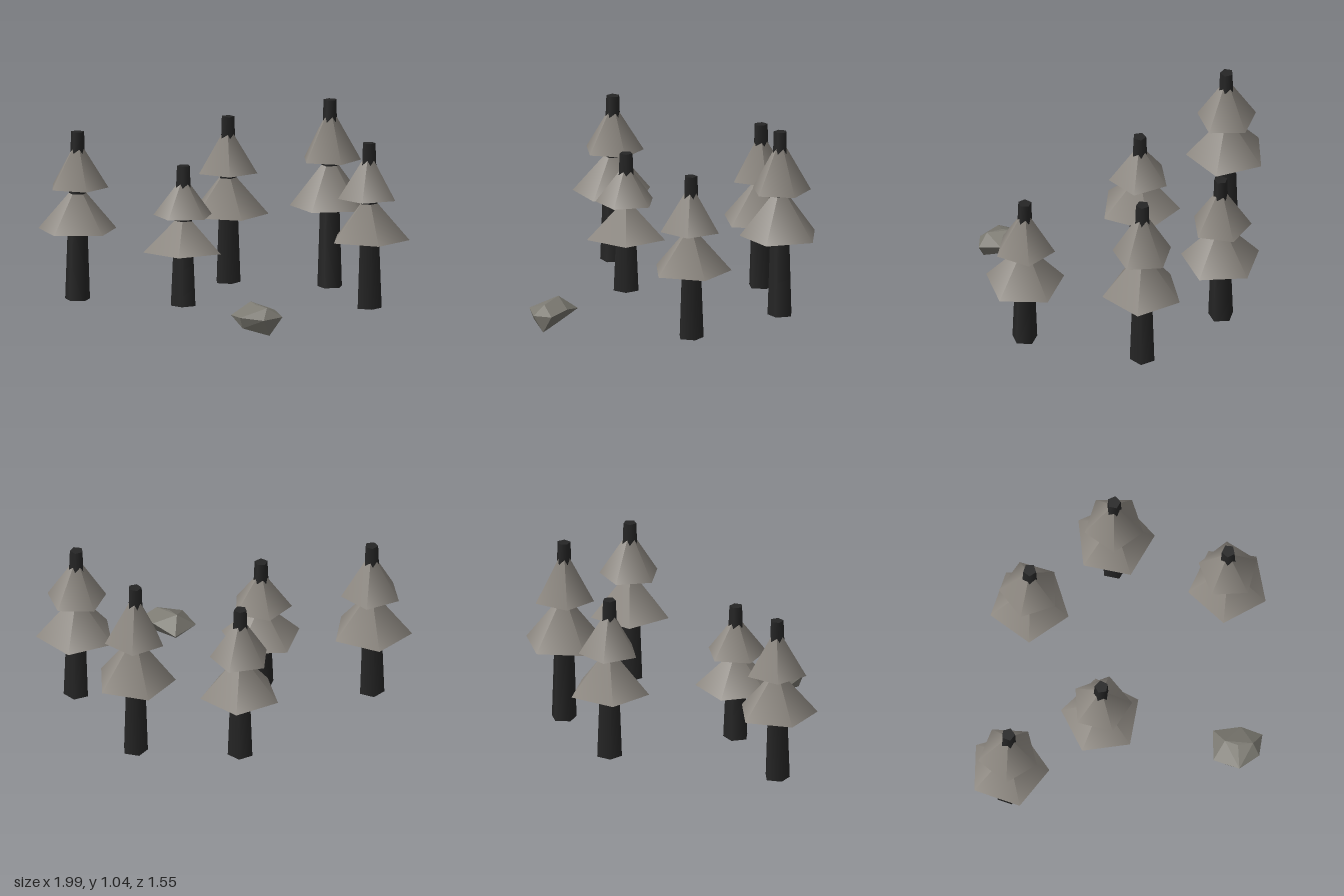
import * as THREE from 'three';
import { ConvexGeometry } from 'three/addons/geometries/ConvexGeometry.js';

const barkMat = new THREE.MeshStandardMaterial({ color: 0x262626 });
const foliageMat = new THREE.MeshStandardMaterial({ color: 0x8c8780 });
const rockMat = new THREE.MeshStandardMaterial({ color: 0x7c7a72, flatShading: true });

const GROUND = 0.04; // height of the trunk bottoms
const SIDES = 5;

// Five-sided tapered piece; turn is in degrees, clockwise from -z seen from above
function taper(name, rTop, rBottom, yBottom, height, turn, material) {
  const mesh = new THREE.Mesh(new THREE.CylinderGeometry(rTop, rBottom, height, SIDES), material);
  mesh.name = name;
  mesh.position.y = yBottom + height / 2;
  mesh.rotation.y = Math.PI - THREE.MathUtils.degToRad(turn);
  return mesh;
}

// Trunk with two pyramid skirts of foliage
function makeTree({ x, z, top, lower, upper, lowerTurn, upperTurn }) {
  const tree = new THREE.Group();
  tree.name = 'tree';
  const stretch = (top - GROUND) / 0.9;
  tree.add(
    taper('trunk', 0.036, 0.069, GROUND, top - GROUND, lowerTurn, barkMat),
    taper('lowerFoliage', 0, 0.217, lower, 0.255 * stretch, lowerTurn, foliageMat),
    taper('upperFoliage', 0, 0.163, upper, 0.262 * stretch, upperTurn, foliageMat),
  );
  tree.position.set(x, 0, z);
  return tree;
}

// Faceted boulder as the hull of a few corners
function makeRock() {
  const corners = [
    [0.27, 0.09, 0.515], [0.165, 0.09, 0.645], [0.455, 0.1, 0.7],
    [0.37, 0.09, 0.778], [0.24, 0.1, 0.772], [0.265, 0.163, 0.62],
    [0.375, 0.148, 0.72], [0.39, 0.12, 0.6], [0.39, 0.002, 0.73],
    [0.27, 0.02, 0.62], [0.25, 0.04, 0.75], [0.305, 0.155, 0.68],
  ].map((p) => new THREE.Vector3(...p));
  const rock = new THREE.Mesh(new ConvexGeometry(corners), rockMat);
  rock.name = 'rock';
  return rock;
}

export function createModel() {
  const model = new THREE.Group();
  model.name = 'forestPatch';
  const trees = [
    { x: -0.78, z: 0.09, top: 0.94, lower: 0.41, upper: 0.64, lowerTurn: -13, upperTurn: 7 },
    { x: -0.195, z: 0.15, top: 0.79, lower: 0.33, upper: 0.52, lowerTurn: 31, upperTurn: 54 },
    { x: -0.107, z: -0.56, top: 0.93, lower: 0.405, upper: 0.63, lowerTurn: 4, upperTurn: 20 },
    { x: 0.452, z: -0.542, top: 1.045, lower: 0.47, upper: 0.72, lowerTurn: -21, upperTurn: 3 },
    { x: 0.777, z: 0.018, top: 0.925, lower: 0.405, upper: 0.627, lowerTurn: 10, upperTurn: 36 },
  ];
  for (const t of trees) model.add(makeTree(t));
  model.add(makeRock());
  return model;
}
